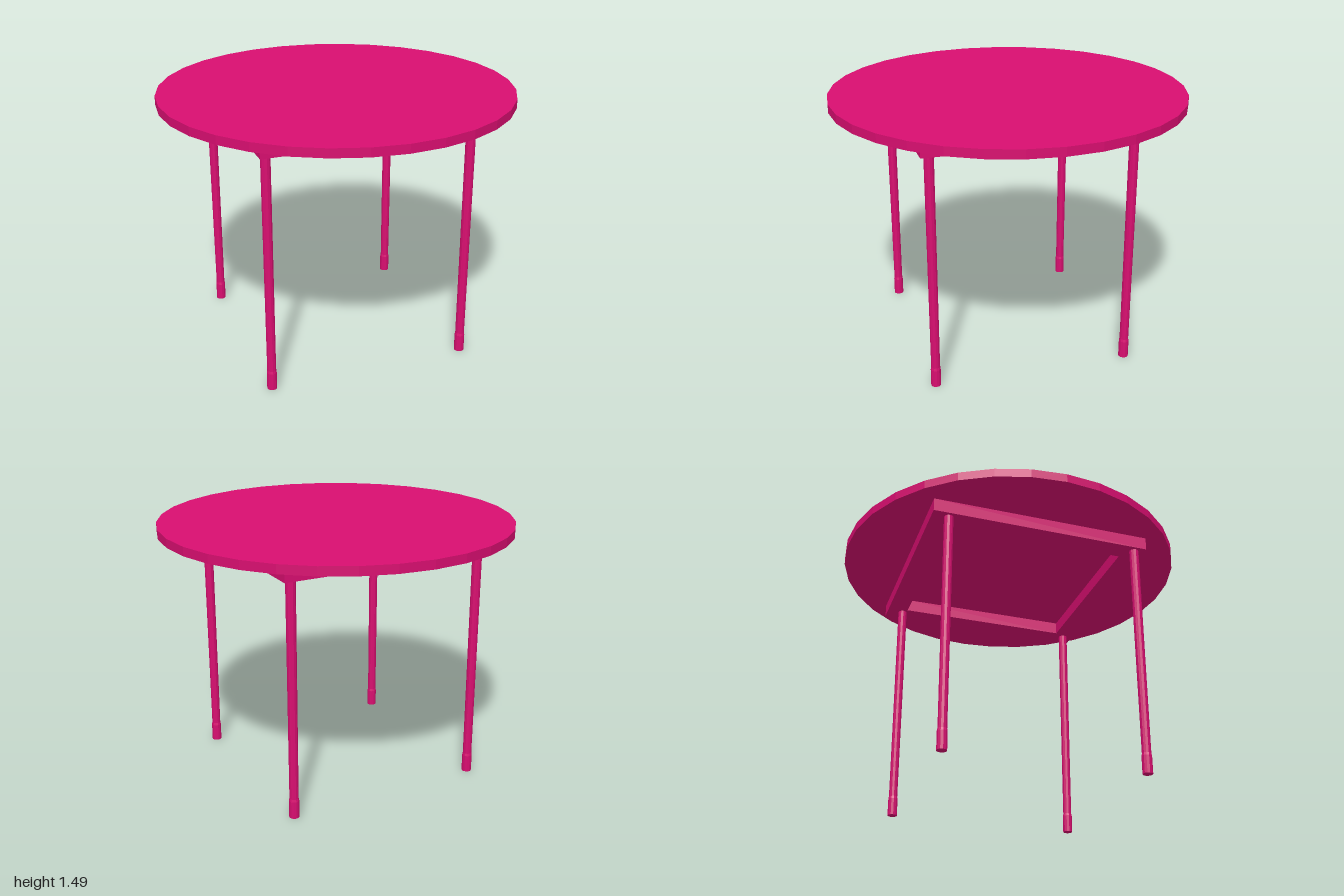
import * as THREE from 'three';

export function createModel() {
  const group = new THREE.Group();
  const material = new THREE.MeshStandardMaterial({ color: 0xd80e70, flatShading: true });

  const add = (name, geometry, x, y, z, parent = group) => {
    const mesh = new THREE.Mesh(geometry, material);
    mesh.name = name;
    mesh.position.set(x, y, z);
    parent.add(mesh);
    return mesh;
  };

  // Round top with 32 straight edges
  add('tableTop', new THREE.CylinderGeometry(1, 1, 0.05, 32), 0, 1.46, 0);

  // Square apron frame, open in the middle
  const square = (Type, h) => new Type([
    new THREE.Vector2(-h, -h), new THREE.Vector2(h, -h),
    new THREE.Vector2(h, h), new THREE.Vector2(-h, h),
  ]);
  const outline = square(THREE.Shape, 0.632);
  outline.holes.push(square(THREE.Path, 0.512));
  const frame = new THREE.ExtrudeGeometry(outline, { depth: 0.075, bevelEnabled: false });
  frame.rotateX(-Math.PI / 2);
  add('apronFrame', frame, -0.002, 1.36, -0.002);

  // Four slim legs, each with a slightly wider foot cap
  const legGeometry = new THREE.CylinderGeometry(0.027, 0.025, 1.26, 12);
  const footGeometry = new THREE.LatheGeometry([
    [0, 0], [0.028, 0], [0.028, 0.1], [0.025, 0.115], [0, 0.115],
  ].map(([r, y]) => new THREE.Vector2(r, y)), 12);
  for (const [sideName, x] of [['Right', -0.59], ['Left', 0.552]]) {
    for (const [endName, z] of [['front', 0.572], ['back', -0.538]]) {
      const leg = new THREE.Group();
      leg.name = `${endName}${sideName}Leg`;
      leg.position.set(x, 0, z);
      add('legTube', legGeometry, 0, 0.73, 0, leg);
      add('footCap', footGeometry, 0, 0, 0, leg);
      group.add(leg);
    }
  }

  return group;
}
